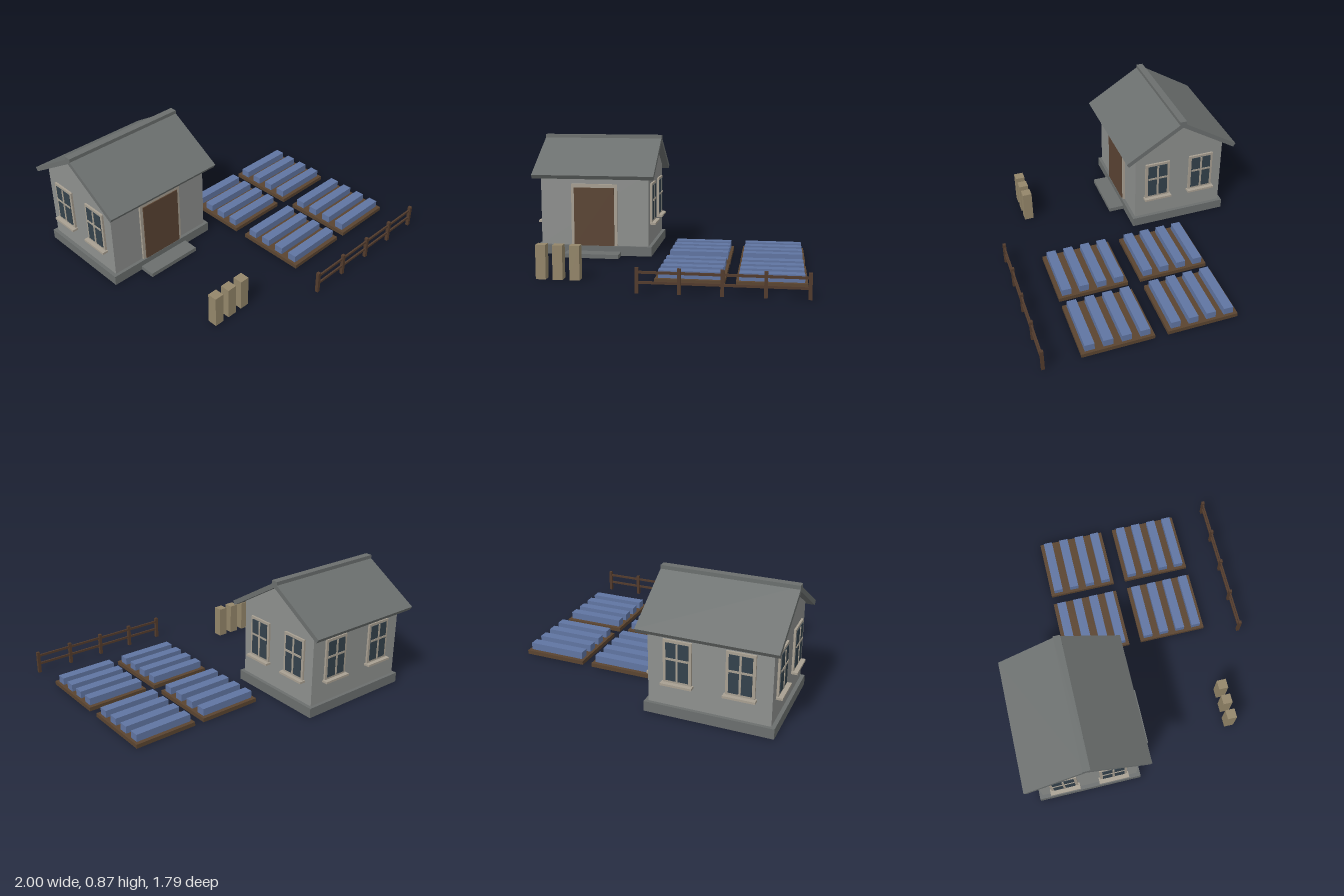
import * as THREE from 'three';

const mat = (name, color) => {
  const m = new THREE.MeshStandardMaterial({ color });
  m.name = name;
  return m;
};

export function createModel() {
  const wallGrey = mat('wall grey', 0x8e908e);
  const slate = mat('slate grey', 0x6b6f6e);
  const trim = mat('trim beige', 0xa8a092);
  const glass = mat('window glass', 0x34424c);
  const doorBrown = mat('door brown', 0x5b4433);
  const soil = mat('bed brown', 0x5a4430);
  const fenceWood = mat('fence wood', 0x523b2c);
  const blue = mat('crop blue', 0x6075a2);
  const tan = mat('post tan', 0x94866a);

  const model = new THREE.Group();
  model.name = 'cottageGarden';

  const group = (parent, name) => {
    const g = new THREE.Group();
    g.name = name;
    parent.add(g);
    return g;
  };
  // Box by size and centre; y is the underside
  const box = (parent, name, m, w, h, d, x, y, z) => {
    const mesh = new THREE.Mesh(new THREE.BoxGeometry(w, h, d), m);
    mesh.name = name;
    mesh.position.set(x, y + h / 2, z);
    parent.add(mesh);
    return mesh;
  };
  // Gable profile (depth, height) extruded along x, centred
  const prism = (parent, name, m, points, length) => {
    const shape = new THREE.Shape(points.map(p => new THREE.Vector2(...p)));
    const geo = new THREE.ExtrudeGeometry(shape, { depth: length, bevelEnabled: false });
    geo.translate(0, 0, -length / 2).rotateY(Math.PI / 2);
    const mesh = new THREE.Mesh(geo, m);
    mesh.name = name;
    parent.add(mesh);
  };

  // House: plinth, walls, roof
  const house = group(model, 'house');
  house.position.set(-0.548, 0, -0.473);
  const hw = 0.403, hd = 0.34;
  box(house, 'plinth', slate, 0.857, 0.07, 0.726, 0, 0, 0);
  box(house, 'doorStep', slate, 0.403, 0.03, 0.113, 0, 0, 0.4195);
  prism(house, 'walls', wallGrey,
    [[-hd, 0.07], [hd, 0.07], [hd, 0.612], [0, 0.821], [-hd, 0.612]], hw * 2);
  prism(house, 'roof', slate,
    [[-0.408, 0.57], [0, 0.821], [0.408, 0.57], [0.4245, 0.597], [0, 0.858], [-0.4245, 0.597]], 0.904);
  box(house, 'ridgeCap', slate, 0.904, 0.033, 0.05, 0, 0.835, 0);

  // Door with its surround
  box(house, 'doorFrame', trim, 0.344, 0.458, 0.014, 0, 0.07, hd + 0.007);
  box(house, 'door', doorBrown, 0.3, 0.431, 0.009, 0, 0.07, hd + 0.0165);

  // Windows on both gables and the back
  const addWindow = (x, z, turn) => {
    const w = group(house, 'window');
    w.position.set(x, 0, z);
    w.rotation.y = turn;
    box(w, 'windowFrame', trim, 0.187, 0.291, 0.014, 0, 0.237, 0.007);
    box(w, 'windowPane', glass, 0.149, 0.257, 0.005, 0, 0.253, 0.0155);
    box(w, 'verticalBar', trim, 0.014, 0.257, 0.005, 0, 0.253, 0.0195);
    box(w, 'crossBar', trim, 0.149, 0.014, 0.005, 0, 0.395, 0.0195);
    box(w, 'windowSill', trim, 0.208, 0.015, 0.043, 0, 0.222, 0.0215);
  };
  for (const s of [-1, 1]) {
    addWindow(hw, s * 0.171, Math.PI / 2);
    addWindow(-hw, s * 0.171, -Math.PI / 2);
    addWindow(s * 0.203, -hd, Math.PI);
  }

  // Four garden beds with four crop rows each
  for (const x of [0.242, 0.761]) {
    for (const z of [-0.198, 0.3865]) {
      const bed = group(model, 'gardenBed');
      bed.position.set(x, 0, z);
      box(bed, 'bedBase', soil, 0.45, 0.028, 0.495, 0, 0, 0);
      for (let i = 0; i < 4; i++)
        box(bed, 'cropRow', blue, 0.412, 0.051, 0.066, 0, 0.028, (i - 1.5) * 0.1245);
    }
  }

  // Three short square posts
  for (let i = 0; i < 3; i++)
    box(model, 'shortPost', tan, 0.067, 0.228, 0.067, -0.728 + i * 0.1125, 0, 0.611);

  // Fence with five posts and two rails
  const fence = group(model, 'fence');
  fence.position.set(0.468, 0, 0.885);
  for (let i = -2; i <= 2; i++)
    box(fence, 'fencePost', fenceWood, 0.022, 0.161, 0.022, i * 0.26, 0, 0);
  for (const y of [0.06, 0.123])
    box(fence, 'fenceRail', fenceWood, 1.04, 0.016, 0.011, 0, y, 0);

  return model;
}
